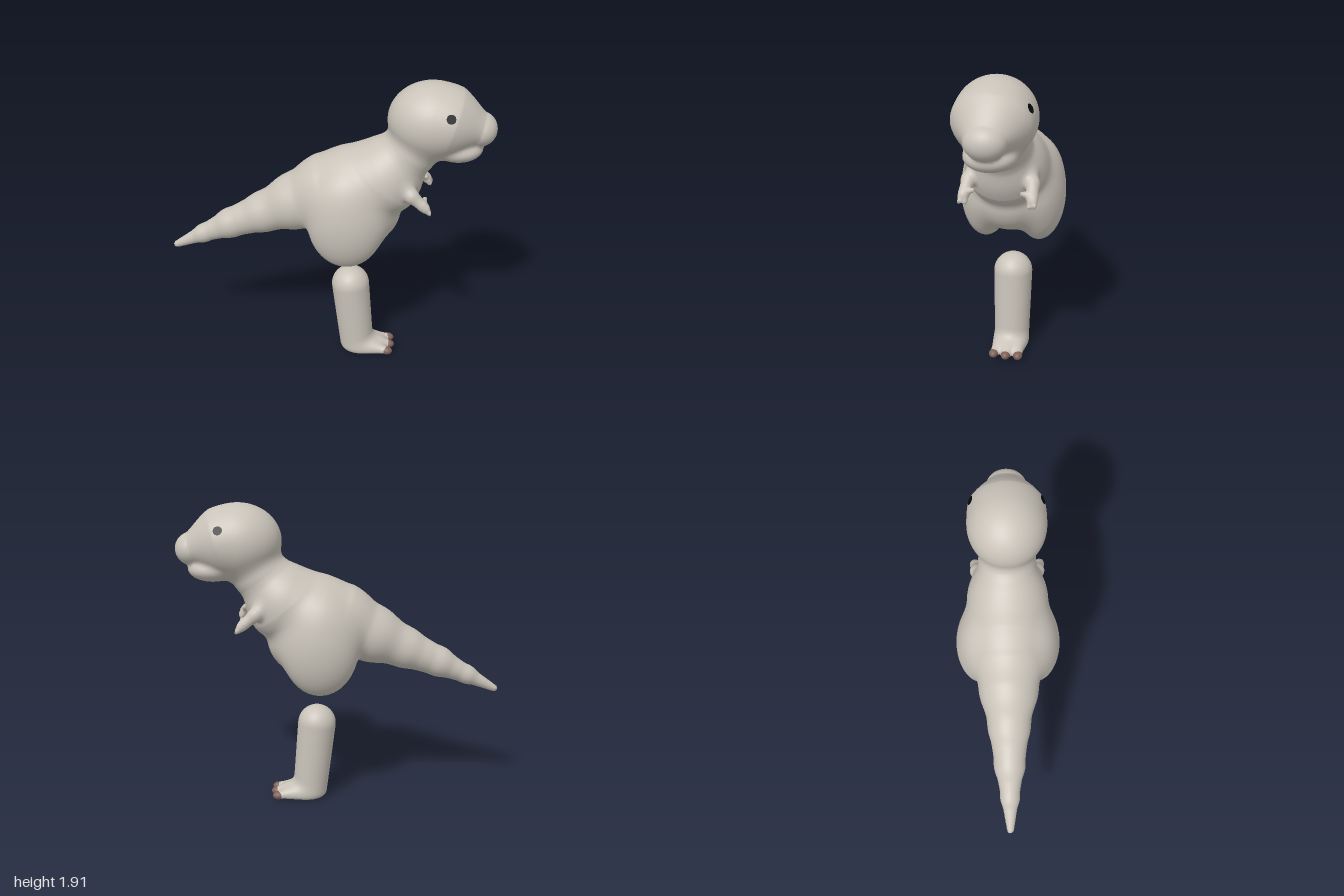
import * as THREE from 'three';

const skin = new THREE.MeshStandardMaterial({ color: 0xc9c3b9 }); skin.name = 'warm grey skin';
const clawMat = new THREE.MeshStandardMaterial({ color: 0x7d6259 }); clawMat.name = 'brown claw';
const eyeMat = new THREE.MeshStandardMaterial({ color: 0x080808 }); eyeMat.name = 'black eye';

// Distance helpers; shapes are mirrored by passing |z|
const smin = (a, b, k) => {
  const h = Math.max(k - Math.abs(a - b), 0) / k;
  return Math.min(a, b) - h * h * k / 4;
};

const ellipsoid = (cx, cy, cz, rx, ry, rz) => (x, y, z) => {
  const a = (x - cx) / rx, b = (y - cy) / ry, c = (z - cz) / rz;
  const k0 = Math.hypot(a, b, c), k1 = Math.hypot(a / rx, b / ry, c / rz);
  return k1 < 1e-6 ? -Math.min(rx, ry, rz) : k0 * (k0 - 1) / k1;
};

// Chain of tapered round limbs through points [x, y, z, radius]
const chain = (pts, k = 0.03, zScale = 1) => (x, y, z) => {
  let d = 1e3;
  for (let i = 0; i + 1 < pts.length; i++) {
    const [ax, ay, az, ar] = pts[i], [bx, by, bz, br] = pts[i + 1];
    const dx = bx - ax, dy = by - ay, dz = bz - az;
    const px = x - ax, py = y - ay, pz = z / zScale - az;
    const t = (px * dx + py * dy + pz * dz) / (dx * dx + dy * dy + dz * dz);
    const h = Math.min(1, Math.max(0, t));
    d = smin(d, Math.hypot(px - dx * h, py - dy * h, pz - dz * h) - ar - (br - ar) * h, k);
  }
  return d;
};

// Body: tail, trunk and neck in one tapering chain
const trunk = chain([
  [-0.978, 0.722, 0, 0.022], [-0.8, 0.815, 0, 0.054], [-0.62, 0.903, 0, 0.09],
  [-0.4, 1.0, 0, 0.125], [-0.2, 1.09, 0, 0.175], [0, 1.18, 0, 0.225],
  [0.13, 1.21, 0, 0.25], [0.34, 1.3, 0, 0.238], [0.48, 1.47, 0, 0.165], [0.56, 1.56, 0, 0.165],
]);
const belly = ellipsoid(0.23, 1.08, 0, 0.225, 0.235, 0.23);
const thigh = ellipsoid(0.13, 1.05, 0.165, 0.235, 0.305, 0.155);

// Head: skull, tapering snout and lower jaw
const skull = ellipsoid(0.62, 1.68, 0, 0.265, 0.23, 0.235);
const snout = chain([[0.74, 1.685, 0, 0.18], [0.898, 1.636, 0, 0.1]], 0.03, 1.2);
const jaw = ellipsoid(0.77, 1.515, 0, 0.155, 0.08, 0.15);

// Arm with two fingers and a thumb
const arm = chain([[0.46, 1.315, 0.15, 0.045], [0.52, 1.262, 0.185, 0.04], [0.6, 1.197, 0.2, 0.03]], 0.02);
const fingers = [[0.63, 1.168, 0.215, 0.015], [0.622, 1.163, 0.185, 0.015], [0.6, 1.228, 0.14, 0.013]]
  .map((tip) => chain([[0.585, 1.21, 0.195, 0.025], tip]));

function bodyField(x, y, zz) {
  const z = Math.abs(zz);
  let d = smin(trunk(x, y, z), belly(x, y, z), 0.04);
  d = smin(d, thigh(x, y, z), 0.07);
  let head = smin(skull(x, y, z), snout(x, y, z), 0.05);
  head = smin(head, jaw(x, y, z), 0.03);
  d = smin(d, head, 0.04);
  let limb = arm(x, y, z);
  for (const f of fingers) limb = smin(limb, f(x, y, z), 0.015);
  return smin(d, limb, 0.03);
}

// Leg: rounded post with a flat-soled, three-toed foot
const post = chain([[0.15, 0.503, 0, 0.12], [0.196, 0.06, 0, 0.109]]);
const instep = ellipsoid(0.28, 0.035, 0, 0.12, 0.06, 0.1);
const toes = [0, 0.075].map((z) => chain([[0.27, 0.045, z * 0.7, 0.042], [z ? 0.395 : 0.405, 0.034, z, 0.027]]));

function legField(x, y, zz) {
  const z = Math.abs(zz);
  let d = smin(post(x, y, z), instep(x, y, z), 0.06);
  for (const t of toes) d = smin(d, t(x, y, z), 0.025);
  return -smin(-d, y, 0.03);
}

function gradient(f, x, y, z, e = 0.003) {
  return new THREE.Vector3(
    f(x + e, y, z) - f(x - e, y, z),
    f(x, y + e, z) - f(x, y - e, z),
    f(x, y, z + e) - f(x, y, z - e)).normalize();
}

// Skins a distance field with one smooth quad mesh
function skinField(f, min, max, s) {
  const n = min.map((m, i) => Math.ceil((max[i] - m) / s) + 1);
  const step = [1, n[0], n[0] * n[1]];
  const at = (i, a) => min[a] + i * s;
  const val = new Float32Array(n[0] * n[1] * n[2]);
  const cell = new Int32Array(val.length).fill(-1);
  const pos = [], nor = [], idx = [];
  const each = (lo, cut, fn) => {
    for (let k = lo; k < n[2] - cut; k++)
      for (let j = lo; j < n[1] - cut; j++)
        for (let i = lo; i < n[0] - cut; i++) fn(i, j, k, i + j * step[1] + k * step[2]);
  };
  each(0, 0, (i, j, k, id) => { val[id] = f(at(i, 0), at(j, 1), at(k, 2)); });
  // One vertex per crossed cell, at the mean of its edge crossings
  each(0, 1, (i, j, k, id) => {
    const p = [0, 0, 0];
    let count = 0;
    for (let c = 0; c < 8; c++) for (let a = 0; a < 3; a++) {
      if (c >> a & 1) continue;
      const bits = [c & 1, c >> 1 & 1, c >> 2 & 1];
      const q = id + bits[0] + bits[1] * step[1] + bits[2] * step[2];
      const v0 = val[q], v1 = val[q + step[a]];
      if ((v0 < 0) === (v1 < 0)) continue;
      bits[a] = v0 / (v0 - v1);
      for (let b = 0; b < 3; b++) p[b] += bits[b];
      count++;
    }
    if (!count) return;
    const v = new THREE.Vector3(at(i + p[0] / count, 0), at(j + p[1] / count, 1), at(k + p[2] / count, 2));
    v.addScaledVector(gradient(f, v.x, v.y, v.z), -f(v.x, v.y, v.z));
    cell[id] = pos.length / 3;
    pos.push(v.x, v.y, v.z);
    nor.push(...gradient(f, v.x, v.y, v.z, 0.006).toArray());
  });
  // One quad per crossed grid edge
  each(1, 1, (i, j, k, id) => {
    for (let a = 0; a < 3; a++) {
      const inside = val[id] < 0;
      if (inside === (val[id + step[a]] < 0)) continue;
      const b = step[(a + 1) % 3], c = step[(a + 2) % 3];
      const q = [cell[id], cell[id - b], cell[id - b - c], cell[id - c]];
      if (!inside) q.reverse();
      idx.push(q[0], q[1], q[2], q[0], q[2], q[3]);
    }
  });
  const g = new THREE.BufferGeometry();
  g.setAttribute('position', new THREE.Float32BufferAttribute(pos, 3));
  g.setAttribute('normal', new THREE.Float32BufferAttribute(nor, 3));
  g.setIndex(idx);
  return g;
}

export function createModel() {
  const model = new THREE.Group();
  model.name = 'dinosaur';
  const add = (name, geo, mat) => {
    const m = new THREE.Mesh(geo, mat);
    m.name = name;
    model.add(m);
    return m;
  };

  add('body', skinField(bodyField, [-1.04, 0.66, -0.369], [1.05, 1.96, 0.37], 0.0155), skin);
  add('leg', skinField(legField, [-0.02, -0.035, -0.161], [0.48, 0.67, 0.16], 0.0105), skin);

  // Claws on the three toes
  for (const z of [-0.077, 0, 0.077]) {
    const claw = add('claw', new THREE.SphereGeometry(1, 16, 12), clawMat);
    claw.scale.set(0.037, 0.026, 0.029);
    claw.position.set(z ? 0.402 : 0.41, 0.035, z);
  }

  // Eyes: flat discs resting on the head surface
  for (const side of [1, -1]) {
    let z = 0.4;
    for (let i = 0; i < 40; i++) z -= 0.7 * bodyField(0.722, 1.775, z);
    const n = gradient(bodyField, 0.722, 1.775, z);
    n.z *= side;
    const eye = add(side > 0 ? 'leftEye' : 'rightEye', new THREE.CircleGeometry(0.028, 12), eyeMat);
    eye.position.set(0.722, 1.775, z * side).addScaledVector(n, 0.004);
    eye.quaternion.setFromUnitVectors(new THREE.Vector3(0, 0, 1), n);
  }
  return model;
}
